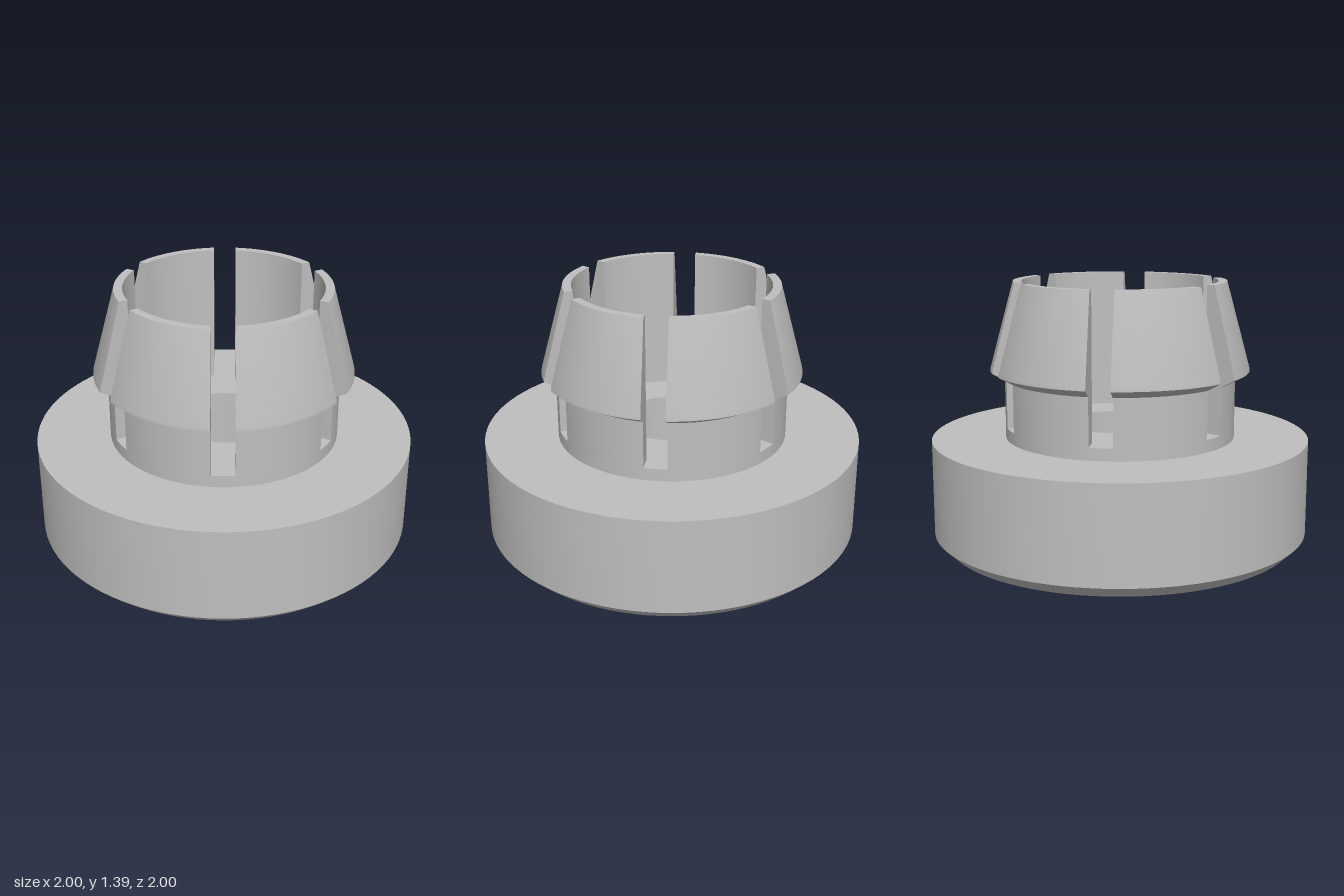
import * as THREE from 'three';
import { toCreasedNormals } from 'three/addons/utils/BufferGeometryUtils.js';

const points = (list) => list.map(([r, y]) => new THREE.Vector2(r, y));
const SLOT_HALF = 0.06; // half the width of the parallel-sided slots
const CREASE = 0.45;

// One snap finger: a partial lathe whose sides run parallel to the slots, with closed ends.
function fingerGeometry() {
  const profile = points([
    [0.61, 0.63], [0.61, 0.88], [0.685, 0.922], [0.683, 0.94],
    [0.56, 1.39], [0.515, 1.39], [0.51, 0.63],
  ]);
  const steps = 20;
  const half = Math.PI / 6;
  const geometry = new THREE.LatheGeometry([...profile, profile[0].clone()], steps, -half, 2 * half);
  const pos = geometry.attributes.position;
  for (let i = 0; i < pos.count; i++) {
    const r = Math.hypot(pos.getX(i), pos.getZ(i));
    const phi = Math.atan2(pos.getX(i), pos.getZ(i)) * (1 - Math.asin(SLOT_HALF / r) / half);
    pos.setXYZ(i, r * Math.sin(phi), pos.getY(i), r * Math.cos(phi));
  }
  // flat faces along the slots
  const index = Array.from(geometry.index.array);
  const last = steps * (profile.length + 1);
  for (const [a, b, c] of THREE.ShapeUtils.triangulateShape(profile, [])) {
    index.push(a, b, c, last + a, last + c, last + b);
  }
  geometry.setIndex(index);
  return toCreasedNormals(geometry, CREASE);
}

export function createModel() {
  const group = new THREE.Group();
  const grey = new THREE.MeshStandardMaterial({ color: 0xbfbfbf });
  grey.name = 'grey';

  // Chamfered disc, raised collar and blind centre hole
  const base = new THREE.Mesh(toCreasedNormals(new THREE.LatheGeometry(points([
    [0, 0], [0.935, 0], [1, 0.063], [1, 0.565], [0.61, 0.565],
    [0.61, 0.63], [0.28, 0.63], [0.28, 0.2], [0, 0.2],
  ]), 96), CREASE), grey);
  base.name = 'base';
  group.add(base);

  // Ring of six snap fingers
  const fingers = new THREE.Group();
  fingers.name = 'snapFingers';
  const geometry = fingerGeometry();
  for (let i = 0; i < 6; i++) {
    const finger = new THREE.Mesh(geometry, grey);
    finger.name = 'snapFinger' + (i + 1);
    finger.rotation.y = i * Math.PI / 3;
    fingers.add(finger);
  }
  group.add(fingers);
  return group;
}
